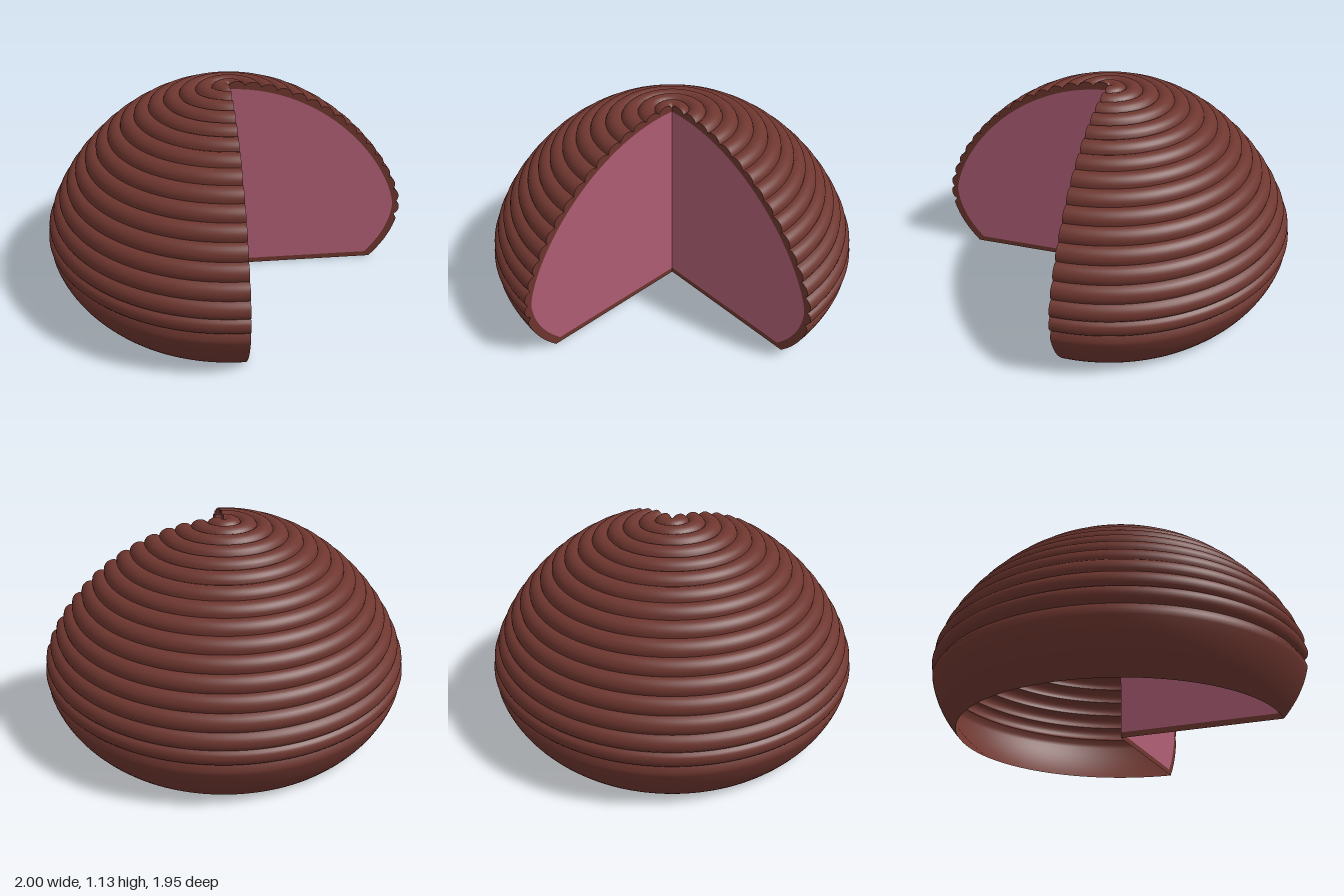
import * as THREE from 'three';

const START = 0.3;         // angle of the first cut, from +x towards +z
const RIDGES = 16;
const STEPS = 8;           // profile points per ridge
const DEPTH = 0.022;       // groove depth
const SHELL = 0.043;       // rim thickness on the cut faces

// Smooth outer profile; t is the angle from the pole
function outline(t) {
  const c = Math.cos(t);
  const y = c > 0 ? 0.35 + 0.785 * Math.pow(c, 1.37) : 0.35 + 0.66 * c;
  return new THREE.Vector2(Math.sin(t), y);
}

// Evenly spaced points along the profile, with outward normals
function sample(t0, t1, count) {
  const dense = [];
  for (let i = 0; i <= 60; i++) dense.push(outline(t0 + (t1 - t0) * i / 60));
  const curve = new THREE.SplineCurve(dense);
  curve.arcLengthDivisions = 600;
  const result = [];
  for (let i = 0; i <= count; i++) {
    const tangent = curve.getTangentAt(i / count);
    result.push({ p: curve.getPointAt(i / count), n: new THREE.Vector2(tangent.y, -tangent.x) });
  }
  return result;
}

function inset(s, d) {
  const v = s.p.clone().addScaledVector(s.n, -d);
  v.x = Math.max(v.x, 0);
  return v;
}

export function createModel() {
  const chocolate = new THREE.MeshStandardMaterial({ color: 0x6e362f, side: THREE.DoubleSide });
  chocolate.name = 'chocolate brown';
  const filling = new THREE.MeshStandardMaterial({ color: 0xb05f75, side: THREE.DoubleSide });
  filling.name = 'berry pink';

  const model = new THREE.Group();
  model.name = 'ridgedDomeWithWedgeCut';

  const baseT = Math.acos(-0.35 / 0.66);
  const ridgeT = Math.acos(-0.07 / 0.66);
  const skirt = sample(baseT, ridgeT, 12);
  const dome = sample(ridgeT, 0, RIDGES * STEPS);

  // Scalloped dome profile: every ridge bulges between two sharp grooves
  const domePoints = dome.map((s, i) => {
    const bulge = Math.pow(Math.sin(Math.PI * (i % STEPS) / STEPS), 0.65);
    return inset(s, DEPTH * (1 - bulge));
  });
  domePoints[domePoints.length - 1].x = 0;
  const skirtPoints = skirt.slice(0, -1).map((s) => s.p);
  skirtPoints.push(domePoints[0]);

  const addBand = (points, name) => {
    const geometry = new THREE.LatheGeometry(points, 120, Math.PI / 2 - START, Math.PI * 1.5);
    const mesh = new THREE.Mesh(geometry, chocolate);
    mesh.name = name;
    model.add(mesh);
  };

  // Shell: smooth skirt and separate ridges, which keeps the grooves sharp
  addBand(skirtPoints, 'skirt');
  for (let i = 0; i < RIDGES; i++) {
    addBand(domePoints.slice(i * STEPS, (i + 1) * STEPS + 1), `ridge${i + 1}`);
  }

  // Cut faces: pink filling framed by a brown rim
  const inner = [...skirt, ...dome.slice(1)].map((s) => inset(s, SHELL)).filter((v) => v.y > 0.03);
  inner[inner.length - 1].x = 0;
  inner.unshift(new THREE.Vector2(inner[0].x - 0.015, 0.03));
  const origin = new THREE.Vector2(0, 0);
  const floor = new THREE.Vector2(0, 0.03);
  const fillingGeometry = new THREE.ShapeGeometry(new THREE.Shape([floor, ...inner]));
  const rimGeometry = new THREE.ShapeGeometry(new THREE.Shape(
    [origin, ...skirtPoints, ...domePoints.slice(1), ...inner.slice().reverse(), floor]));

  ['first', 'second'].forEach((side, i) => {
    const face = new THREE.Group();
    face.name = `${side}CutFace`;
    face.rotation.y = -START - i * Math.PI / 2;
    const fill = new THREE.Mesh(fillingGeometry, filling);
    fill.name = `${side}Filling`;
    const rim = new THREE.Mesh(rimGeometry, chocolate);
    rim.name = `${side}Rim`;
    face.add(fill, rim);
    model.add(face);
  });

  // Centre the remaining three quarters in depth
  model.children.forEach((part) => { part.position.z = 0.022; });
  return model;
}
